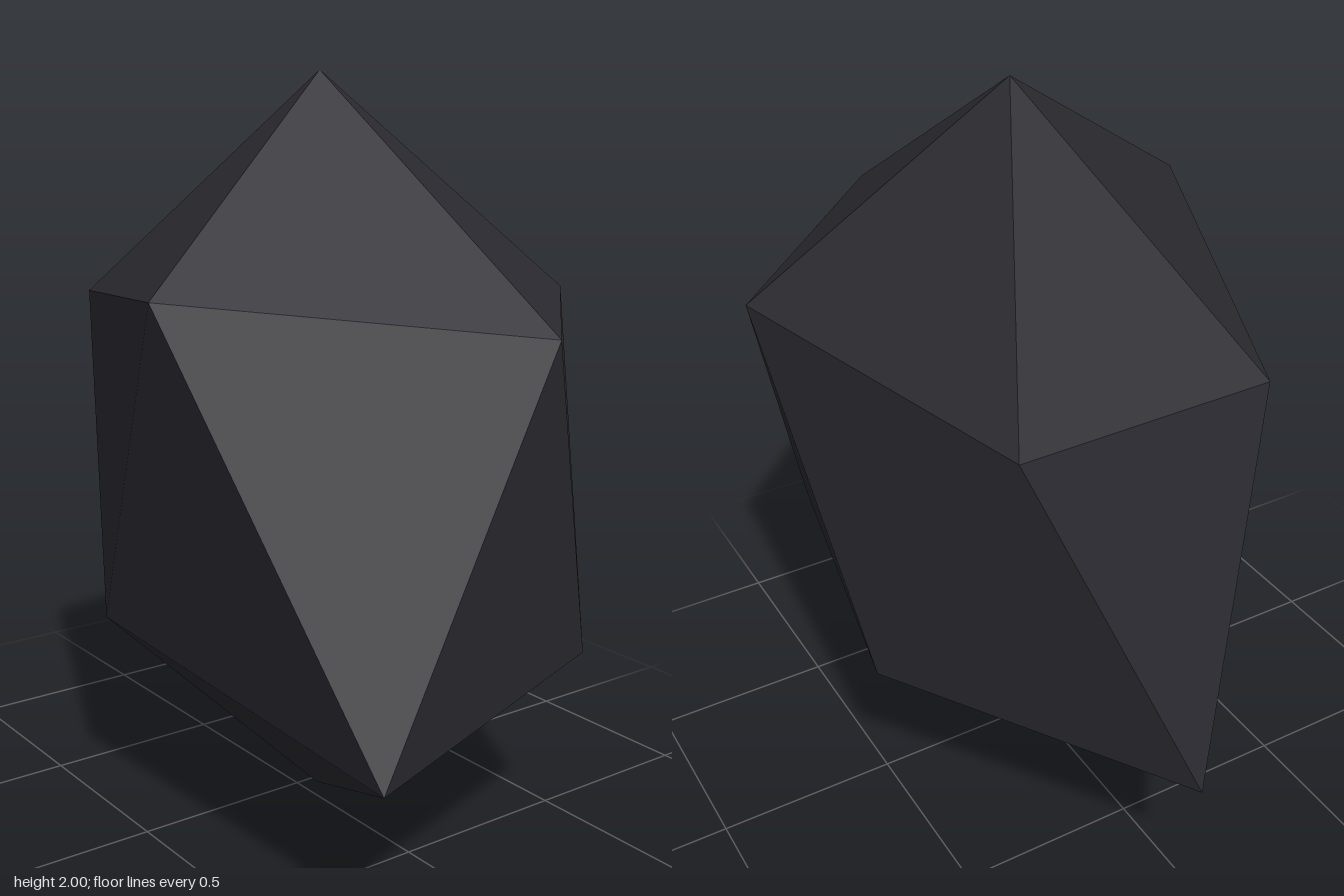
import * as THREE from 'three';

// Irregular faceted rock: two five-point rings closed by a peak and a base point
export function createModel() {
  const group = new THREE.Group();
  group.name = 'rock';

  const stone = new THREE.MeshStandardMaterial({ color: 0x2b2b31, flatShading: true });
  stone.name = 'dark stone';

  const peak = [0.03, 2, -0.05];
  const base = [0.03, 0, -0.05];
  // Rings run front, left, back, right; each lower point sits just before its upper one
  const upper = [
    [0.36, 1.5, 0.67], [0.92, 1.42, -0.06], [0.31, 1.42, -0.67],
    [-0.72, 1.45, -0.46], [-0.62, 1.38, 0.29],
  ];
  const lower = [
    [-0.21, 0.55, 0.49], [0.87, 0.42, 0.39], [0.7, 0.53, -0.41],
    [-0.21, 0.55, -0.6], [-0.92, 0.46, -0.06],
  ];

  const points = [];
  const face = (a, b, c) => points.push(...a, ...b, ...c);
  for (let i = 0; i < 5; i++) {
    const j = (i + 1) % 5;
    face(peak, upper[i], upper[j]); // cap
    face(upper[i], lower[i], lower[j]); // sides
    face(upper[i], lower[j], upper[j]);
    face(base, lower[j], lower[i]); // underside
  }

  const geometry = new THREE.BufferGeometry();
  geometry.setAttribute('position', new THREE.Float32BufferAttribute(points, 3));
  geometry.computeVertexNormals();

  const body = new THREE.Mesh(geometry, stone);
  body.name = 'rockBody';
  group.add(body);
  return group;
}
